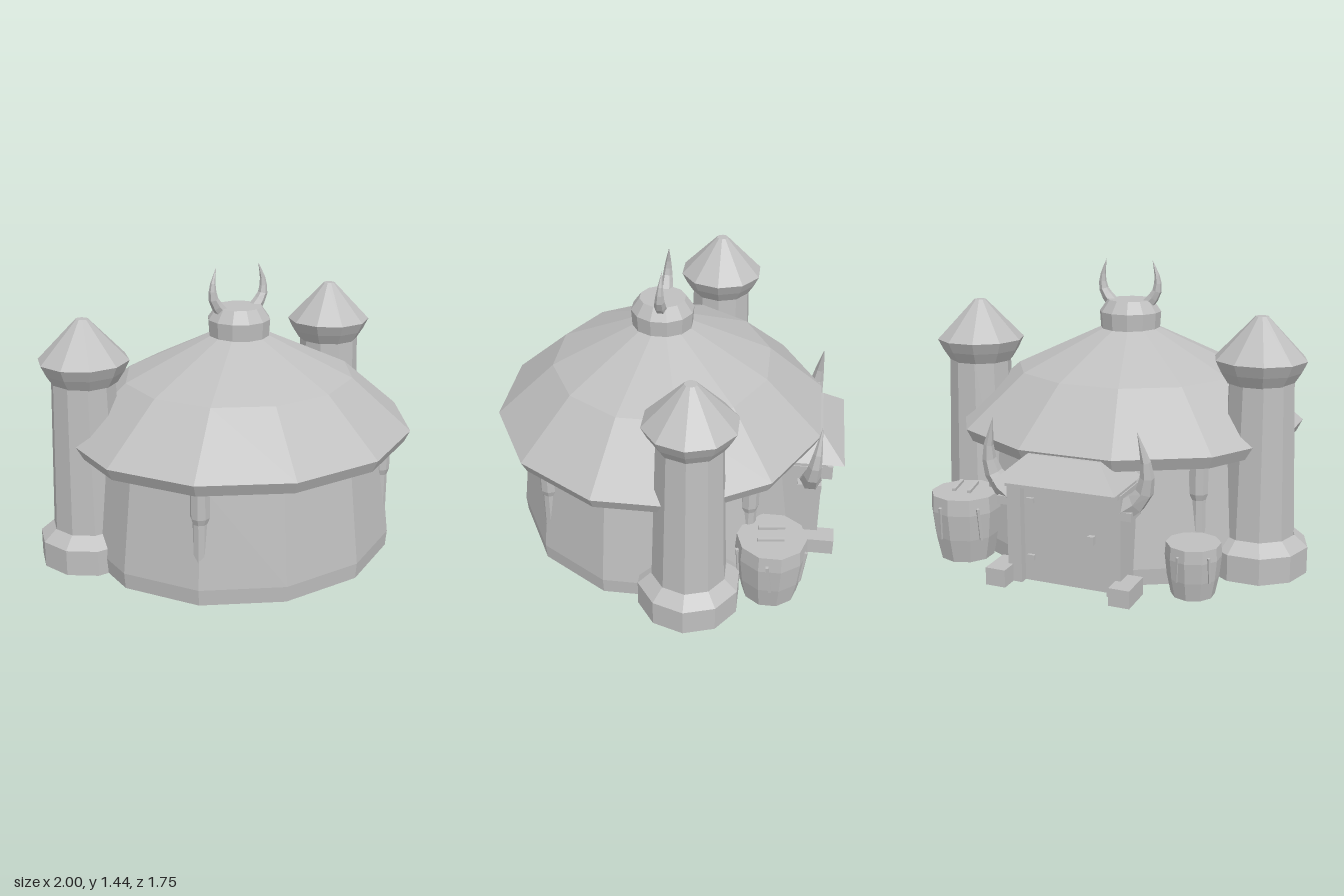
import * as THREE from 'three';

export function createModel() {
  const model = new THREE.Group();
  model.name = 'roundHall';
  const stone = new THREE.MeshStandardMaterial({ color: 0xbfbfbf, flatShading: true, side: THREE.DoubleSide });
  stone.name = 'plainGrey';

  function add(name, geometry, x = 0, y = 0, z = 0, parent = model) {
    const mesh = new THREE.Mesh(geometry, stone);
    mesh.name = name;
    mesh.position.set(x, y, z);
    parent.add(mesh);
    return mesh;
  }
  // Faceted turned shape from [radius, height] pairs, listed upwards
  function turned(profile, sides, turn = 0) {
    return new THREE.LatheGeometry(profile.map(([r, y]) => new THREE.Vector2(r, y)), sides, turn);
  }
  const box = (w, h, d) => new THREE.BoxGeometry(w, h, d);

  // Curved horn: a tube whose rings shrink to a point at the tip
  function horn(points, radius) {
    const steps = 6, sides = 6;
    const path = new THREE.CatmullRomCurve3(points.map((p) => new THREE.Vector3(...p)));
    const g = new THREE.TubeGeometry(path, steps, radius, sides);
    const pos = g.attributes.position, v = new THREE.Vector3();
    for (let i = 0; i <= steps; i++) {
      const c = path.getPointAt(i / steps);
      const k = Math.max(0.01, 1 - Math.pow(i / steps, 1.3));
      for (let j = 0; j <= sides; j++) {
        const n = i * (sides + 1) + j;
        v.fromBufferAttribute(pos, n).sub(c).multiplyScalar(k).add(c);
        pos.setXYZ(n, v.x, v.y, v.z);
      }
    }
    return g;
  }

  // Twelve-sided hall, slightly narrower from front to back
  const t = Math.PI / 12, cz = 0.06;
  add('wall', turned([[0.80, 0], [0.807, 0.08], [0.745, 0.58]], 12, t), 0, 0, cz).scale.z = 0.925;
  add('roof', turned([[0, 0.58], [0.86, 0.58], [0.89, 0.64], [0.585, 0.9], [0.15, 1.1]], 12, t), 0, 0, cz).scale.z = 0.945;
  add('roofCap', turned([[0.15, 1.08], [0.157, 1.18], [0.115, 1.24], [0, 1.24]], 12, t), 0, 0, cz);

  // Upright posts that emerge from the sloping wall
  for (const x of [-0.535, 0.535]) {
    for (const z of [-0.43, 0.55]) {
      add('wallPost', turned([[0, 0], [0.036, 0], [0.036, 0.4], [0.046, 0.43], [0.046, 0.58]], 8), x, 0, z);
    }
  }

  for (const s of [-1, 1]) {
    // Corner tower, ten-sided with a corner pointing outwards
    const tower = new THREE.Group();
    tower.name = 'tower';
    tower.position.set(s * 0.75, 0, -0.165);
    model.add(tower);
    const turn = s * Math.PI / 2;
    add('towerBase', turned([[0, 0], [0.25, 0], [0.25, 0.13], [0.185, 0.185]], 10, turn), 0, 0, 0, tower);
    add('towerShaft', turned([[0.182, 0.18], [0.157, 0.93]], 10, turn), 0, 0, 0, tower);
    add('towerCap', turned([[0, 0.92], [0.16, 0.92], [0.195, 0.975], [0.222, 1.03], [0.03, 1.23], [0, 1.23]], 10, turn),
      -s * 0.007, 0, 0, tower);

    // Roof horn
    add('roofHorn', horn([[s * 0.1, 1.225, 0.055], [s * 0.142, 1.28, 0.055], [s * 0.148, 1.35, 0.052],
      [s * 0.124, 1.44, 0.045]], 0.032));

    // Gate side: post, foot block, bracket and horn
    add('gatePost', box(0.07, 0.49, 0.26), s * 0.25, 0.245, -0.645);
    add('gateFoot', box(0.1, 0.085, 0.17), s * 0.31, 0.0425, -0.775);
    add('hornBracket', box(0.09, 0.04, 0.12), s * 0.29, 0.395, -0.715);
    add('gateHorn', horn([[s * 0.28, 0.41, -0.72], [s * 0.365, 0.48, -0.72], [s * 0.395, 0.6, -0.735],
      [s * 0.355, 0.785, -0.755]], 0.056));
  }

  // Gate: door, lintel and hipped awning
  add('door', box(0.44, 0.48, 0.2), 0, 0.24, -0.635);
  add('lintel', box(0.56, 0.05, 0.25), 0, 0.5, -0.675);
  add('doorKnob', box(0.03, 0.04, 0.03), -0.13, 0.25, -0.745);
  for (const y of [0.12, 0.4]) add('doorHinge', box(0.035, 0.025, 0.02), 0.18, y, -0.74);
  const awning = box(0.6, 0.11, 0.34);
  const ap = awning.attributes.position;
  for (let i = 0; i < ap.count; i++) {
    if (ap.getY(i) > 0) {
      ap.setX(i, Math.sign(ap.getX(i)) * 0.18);
      ap.setZ(i, Math.sign(ap.getZ(i)) * 0.055);
    }
  }
  add('awning', awning, 0, 0.575, -0.71);

  // Barrels with slats on the lid and slanted nicks around the side
  function barrel(x, z, size, lidSlats) {
    const group = new THREE.Group();
    group.name = 'barrel';
    group.position.set(x, 0, z);
    group.scale.setScalar(size);
    model.add(group);
    add('barrelBody', turned([[0, 0], [0.135, 0], [0.16, 0.12], [0.174, 0.25], [0.168, 0.33], [0, 0.33]], 10), 0, 0, 0, group);
    for (let i = 0; i < 5; i++) {
      const a = i * Math.PI * 0.4 + 0.3;
      const nick = add('barrelNick', box(0.014, 0.17, 0.014), Math.sin(a) * 0.163, 0.2, Math.cos(a) * 0.163, group);
      nick.rotation.set(0.1, a, i % 2 ? 0.12 : -0.12, 'YXZ');
    }
    if (lidSlats) {
      for (const sx of [-0.04, 0.045]) {
        const slat = add('lidSlat', box(0.018, 0.014, 0.13), sx, 0.35, 0.005, group);
        slat.rotation.set(-0.06, 0.2, 0);
      }
    }
  }
  barrel(0.64, -0.55, 1, true);
  barrel(-0.565, -0.585, 0.75, false);

  return model;
}
